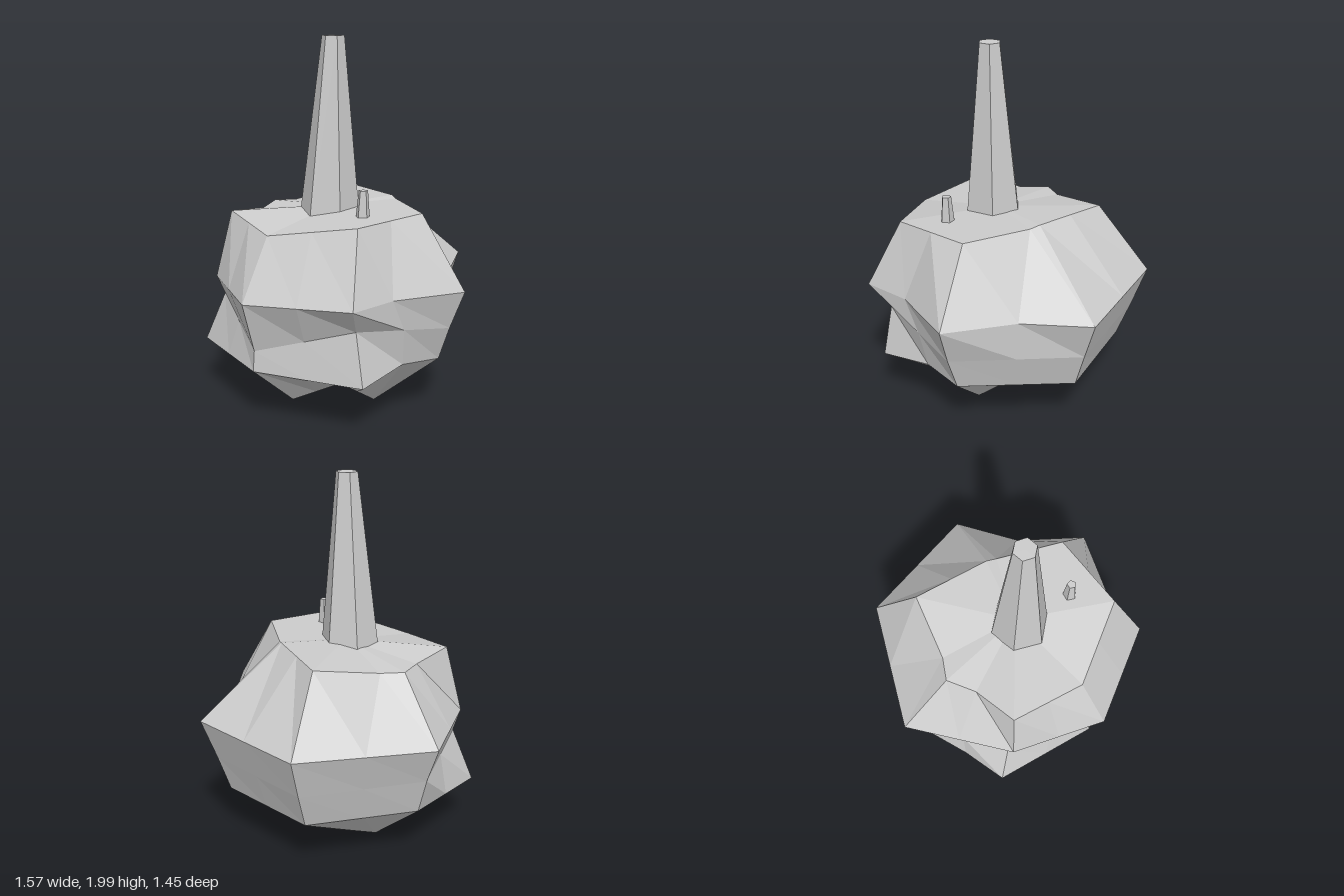
import * as THREE from 'three';

const grey = new THREE.MeshStandardMaterial({ color: 0xcccccc, flatShading: true });
grey.name = 'light grey';

// Seven body ribs, counted from the front towards +x. Each list is one level.
const shoulder = [
  [-0.02, 1.01, 0.53], [0.44, 1.09, 0.37], [0.52, 1.1, -0.07], [0.15, 1.11, -0.31],
  [-0.26, 1.1, -0.46], [-0.49, 1.04, -0.03], [-0.42, 1.06, 0.39],
];
const waist = [
  [-0.02, 0.69, 0.72], [0.54, 0.72, 0.53], [0.78, 0.72, -0.09], [0.34, 0.72, -0.73],
  [-0.38, 0.72, -0.72], [-0.79, 0.72, -0.1], [-0.49, 0.69, 0.45],
];
const groove = [
  [-0.02, 0.42, 0.64], [0.48, 0.58, 0.43], [0.7, 0.51, -0.08], [0.3, 0.5, -0.66],
  [-0.35, 0.5, -0.65], [-0.71, 0.52, -0.09], [-0.48, 0.58, 0.4],
];
const belly = [
  [-0.02, 0.31, 0.65], [0.54, 0.3, 0.45], [0.63, 0.32, -0.09], [0.27, 0.3, -0.6],
  [-0.32, 0.3, -0.58], [-0.65, 0.32, -0.08], [-0.59, 0.3, 0.45],
];
const feet = [
  [-0.02, 0.05, 0.35], [0.19, 0.15, 0.2], [0.27, 0.01, 0], [0.12, 0.1, -0.16],
  [-0.12, 0.04, -0.2], [-0.3, 0.02, -0.03], [-0.2, 0.1, 0.2],
];

// Levels with a valley point between neighbouring ribs; listed valleys are dented
function withValleys(level, dents = {}) {
  return level.flatMap((p, i) => {
    const q = level[(i + 1) % level.length];
    return [p, dents[i] ?? p.map((v, k) => (v + q[k]) / 2)];
  });
}

// Closed faceted skin over the levels, from the top point to the bottom point
function skin(levels, top, bottom) {
  const n = levels[0].length;
  const last = levels[levels.length - 1];
  const corners = [];
  for (let c = 0; c < n; c++) {
    const d = (c + 1) % n;
    corners.push(top, levels[0][c], levels[0][d], bottom, last[d], last[c]);
    for (let r = 0; r < levels.length - 1; r++) {
      const [a, b] = [levels[r], levels[r + 1]];
      corners.push(a[c], b[c], b[d], a[c], b[d], a[d]);
    }
  }
  const geo = new THREE.BufferGeometry();
  geo.setAttribute('position', new THREE.Float32BufferAttribute(corners.flat(), 3));
  geo.computeVertexNormals();
  return geo;
}

// Tapered prism whose top may lean sideways
function stem(name, sides, rTop, rBase, yBase, yTop, x, z, lean) {
  const h = yTop - yBase;
  const geo = new THREE.CylinderGeometry(rTop, rBase, h, sides);
  geo.translate(0, h / 2, 0);
  const p = geo.attributes.position;
  for (let i = 0; i < p.count; i++) p.setX(i, p.getX(i) + lean * p.getY(i) / h);
  geo.translate(x, yBase, z);
  const mesh = new THREE.Mesh(geo, grey);
  mesh.name = name;
  return mesh;
}

export function createModel() {
  const model = new THREE.Group();
  model.name = 'gourd';

  // Ribbed body
  const body = new THREE.Mesh(skin([
    withValleys(shoulder, { 2: [0.2, 1.1, -0.28], 4: [-0.41, 1.04, -0.13], 5: [-0.43, 1.03, 0.13] }),
    withValleys(waist, { 1: [0.58, 0.72, 0.26], 2: [0.5, 0.72, -0.38] }),
    withValleys(groove),
    withValleys(belly, { 1: [0.56, 0.34, 0.14] }),
    withValleys(feet),
  ], [0, 1.09, 0.03], [-0.02, 0.12, 0.04]), grey);
  body.name = 'body';

  // Tall leaning stem and small sprout
  model.add(
    body,
    stem('tallStem', 6, 0.06, 0.168, 1.0, 2.0, 0, 0.06, 0.027),
    stem('smallSprout', 5, 0.025, 0.046, 1.0, 1.23, 0.305, 0.16, 0.005),
  );
  return model;
}
